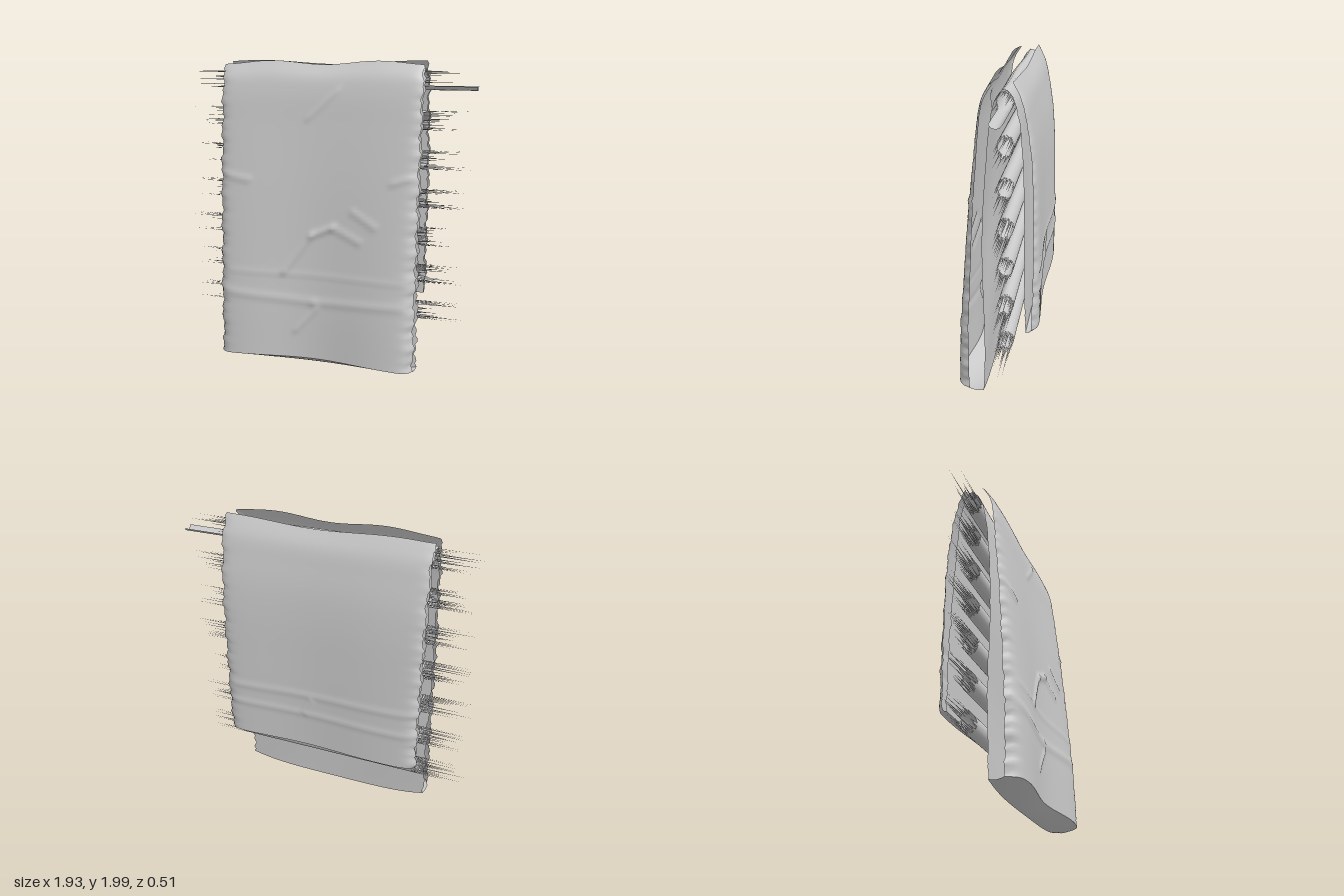
import * as THREE from 'three';

const material = new THREE.MeshStandardMaterial({ color: 0xcccccc, side: THREE.DoubleSide });

function seeded(seed) {
  let s = seed;
  return () => (s = (s * 16807) % 2147483647) / 2147483647;
}

// Irregular offset used along torn edges
const ragged = (t, k) => 0.006 * Math.sin(t * 31 + k) + 0.005 * Math.sin(t * 83 + 2 * k) + 0.003 * Math.sin(t * 171 + 5 * k);

// Raised crease along a line from (x1,y1) to (x2,y2)
function crease(x, y, [x1, y1, x2, y2, height, width]) {
  const dx = x2 - x1, dy = y2 - y1;
  const t = Math.min(1, Math.max(0, ((x - x1) * dx + (y - y1) * dy) / (dx * dx + dy * dy)));
  const d = Math.hypot(x - x1 - t * dx, y - y1 - t * dy);
  return height * Math.exp(-((d / width) ** 2));
}

// Grid surface from a function point(u, v), u in -1..1, v in 0..1
function sheet(name, nu, nv, point) {
  const pos = [], index = [];
  for (let j = 0; j <= nv; j++) {
    for (let i = 0; i <= nu; i++) pos.push(...point((2 * i) / nu - 1, j / nv));
  }
  for (let j = 0; j < nv; j++) {
    for (let i = 0; i < nu; i++) {
      const a = j * (nu + 1) + i, b = a + nu + 1;
      index.push(a, b, a + 1, b, b + 1, a + 1);
    }
  }
  const g = new THREE.BufferGeometry();
  g.setAttribute('position', new THREE.Float32BufferAttribute(pos, 3));
  g.setIndex(index);
  g.computeVertexNormals();
  const mesh = new THREE.Mesh(g, material);
  mesh.name = name;
  return mesh;
}

// Side profiles as [z, y]
const profile = (pts) => new THREE.CatmullRomCurve3(pts.map(([z, y]) => new THREE.Vector3(0, y, z)), false, 'centripetal');
const frontCurve = profile([[0.03, 1.985], [0.08, 1.9], [0.105, 1.8], [0.13, 1.6], [0.175, 1.2], [0.21, 0.8], [0.24, 0.4], [0.253, 0.075]]);
const backCurve = profile([[-0.11, 1.985], [-0.16, 1.88], [-0.187, 1.75], [-0.21, 1.6], [-0.225, 1.4], [-0.232, 1.1], [-0.235, 0.8], [-0.232, 0.495]]);
const liningCurve = profile([[0.08, 0.01], [0.07, 0.5], [0.078, 1.1], [0.05, 1.6], [0.025, 1.8], [-0.008, 1.91],
  [-0.055, 1.955], [-0.1, 1.91], [-0.13, 1.8], [-0.15, 1.6], [-0.167, 1.2], [-0.173, 0.8], [-0.178, 0.475]]);

const frontCreases = [
  [-0.2, 0.65, -0.02, 0.9, 0.012, 0.02], [-0.02, 0.9, 0.12, 0.96, 0.012, 0.02], [0.12, 0.96, 0.3, 0.88, 0.008, 0.02],
  [-0.12, 0.26, 0.02, 0.42, 0.008, 0.018], [0.25, 1.07, 0.4, 0.98, 0.008, 0.018], [-0.06, 1.64, 0.13, 1.82, 0.006, 0.018],
  [-0.64, 1.27, -0.45, 1.24, 0.008, 0.02], [0.5, 1.26, 0.65, 1.31, 0.008, 0.02],
  [-0.66, 0.5, 0, 0.46, 0.007, 0.025], [0, 0.46, 0.66, 0.49, 0.007, 0.025], [-0.66, 0.64, 0.66, 0.64, 0.004, 0.015],
];
const backCreases = [[-0.64, 0.74, 0.64, 0.74, 0.006, 0.02], [-0.64, 0.9, 0.64, 0.87, 0.006, 0.02], [0.05, 0.85, 0.1, 0.75, 0.008, 0.015]];

const HALF = 0.655;
const edgeX = (u, y) => u * (HALF + ragged(y, u > 0 ? 1 : 4));

function frontPoint(u, v) {
  const p = frontCurve.getPointAt(v), x = edgeX(u, p.y);
  const wave = 0.05 * v * (0.5 + 0.5 * Math.cos(x * Math.PI * 2));
  const curl = (0.015 + 0.055 * v) * Math.abs(u) ** 24;
  const bump = frontCreases.reduce((s, c) => s + crease(x, p.y, c), 0);
  const top = (1 - v) ** 12 * 0.012 * Math.sin(x * 9 + 4.5);
  return [x, p.y + top - 0.018 * v ** 8 * u ** 4, p.z - wave - curl + bump];
}

function backPoint(u, v) {
  const p = backCurve.getPointAt(v), x = edgeX(u, p.y);
  const wave = 0.02 * v ** 0.5 * (0.5 - 0.5 * Math.cos((x - 0.1) * Math.PI * 2));
  const curl = (0.01 + 0.03 * v) * Math.abs(u) ** 24;
  const bump = backCreases.reduce((s, c) => s + crease(x, p.y, c), 0);
  const top = (1 - v) ** 12 * 0.012 * Math.sin(x * 6 - 2);
  return [x, p.y + top, p.z - wave + curl - bump];
}

function liningPoint(u, v) {
  const p = liningCurve.getPointAt(v), x = edgeX(u, p.y);
  const ripple = 0.004 * Math.sin(x * 7 + p.y * 4) * Math.min(1, 12 * v, 12 * (1 - v));
  const lift = 0.045 * Math.max(0, 1 - v * 12) * u ** 4;
  return [x, p.y + lift, p.z + ripple];
}

// Strip that closes the gap between two edges
function hem(name, a, b) {
  return sheet(name, 64, 5, (u, t) => {
    const p = a(u), q = b(u), sag = 0.008 * Math.sin(Math.PI * t);
    return [p[0] + (q[0] - p[0]) * t, p[1] + (q[1] - p[1]) * t - sag, p[2] + (q[2] - p[2]) * t];
  });
}

// Hollow rod with splintered ends
function rod(y, n) {
  const group = new THREE.Group();
  group.name = 'rod' + n;
  const rand = seeded(977 * n + 31);
  const SIDES = 40, RY = 0.06, RZ = 0.047, END = 0.6;
  const at = (a, x) => [x, RY * Math.sin(a), RZ * Math.cos(a)];

  const body = sheet('rodBody', 2, SIDES, (u, v) => at(v * Math.PI * 2, u * END));
  const pos = [];
  for (const side of [-1, 1]) {
    for (let i = 0; i < SIDES; i++) {
      const a = (i / SIDES) * Math.PI * 2, b = ((i + 1) / SIDES) * Math.PI * 2;
      const steep = Math.abs(Math.sin(a)) > 0.6;
      const length = steep ? 0.06 + 0.3 * rand() : 0.02 + 0.14 * rand() ** 2 + (rand() > 0.85 ? 0.17 : 0);
      const base = [at(a, side * END), at(b, side * END)];
      const tip = at(a + (b - a) * rand(), side * (END + length));
      pos.push(...base[0], ...base[1], ...tip);
    }
  }
  const g = new THREE.BufferGeometry();
  g.setAttribute('position', new THREE.Float32BufferAttribute(pos, 3));
  g.computeVertexNormals();
  const splinters = new THREE.Mesh(g, material);
  splinters.name = 'rodSplinters';
  group.add(body, splinters);
  group.position.set(0, y, -0.055);
  return group;
}

export function createModel() {
  const model = new THREE.Group();
  model.name = 'drapedCloth';

  // Folded cloth: two outer panels and a lining that arches over the rods
  model.add(sheet('frontPanel', 72, 100, frontPoint));
  model.add(sheet('backPanel', 72, 80, backPoint));
  model.add(sheet('lining', 64, 140, liningPoint));
  model.add(hem('frontHem', (u) => frontPoint(u, 1), (u) => liningPoint(u, 0)));
  model.add(hem('backHem', (u) => backPoint(u, 1), (u) => liningPoint(u, 1)));

  // Row of rods inside the fold
  for (let i = 0; i < 7; i++) model.add(rod(0.4 + i * 0.2467, i + 1));

  // Broad splinter left on the top rod
  const strip = sheet('broadSplinter', 4, 4, (u, v) => {
    const a = -Math.PI / 2 + (v - 0.5) * 1.9;
    return [0.78 + 0.19 * u, 1.88 + 0.06 * Math.sin(a), -0.055 + 0.047 * Math.cos(a)];
  });
  model.add(strip);
  return model;
}
